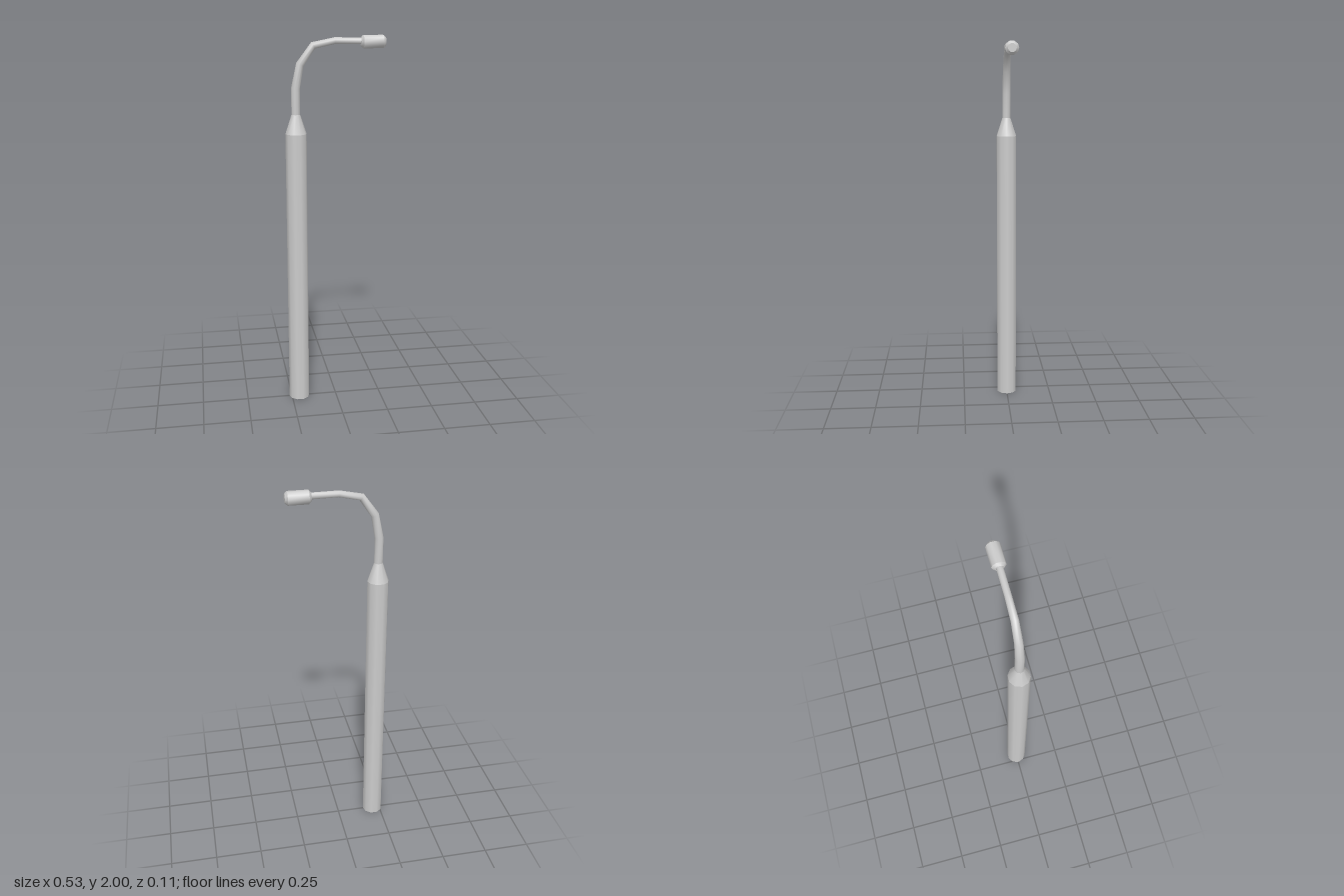
import * as THREE from 'three';
import { toCreasedNormals } from 'three/addons/utils/BufferGeometryUtils.js';

const SIDES = 10;
const POLE_X = -0.208;
const material = new THREE.MeshStandardMaterial({ color: 0xcccccc });

function part(name, geometry) {
  const mesh = new THREE.Mesh(geometry, material);
  mesh.name = name;
  return mesh;
}

// Tapering tube along a bent path in the xy plane; points are [x, y, radius]
function bentTube(points) {
  const positions = [], index = [];
  const centres = points.map(([x, y]) => new THREE.Vector2(x, y));
  const last = points.length - 1;
  const direction = (i) => centres[i + 1].clone().sub(centres[i]).normalize();
  centres.forEach((c, i) => {
    const before = direction(Math.max(i - 1, 0));
    const after = direction(Math.min(i, last - 1));
    const tangent = before.add(after).normalize();
    const r = points[i][2];
    for (let j = 0; j < SIDES; j++) {
      const a = (j / SIDES) * Math.PI * 2;
      const across = r * Math.cos(a);
      positions.push(c.x + tangent.y * across, c.y - tangent.x * across, r * Math.sin(a));
      if (i === last) continue;
      const p = i * SIDES + j, q = i * SIDES + (j + 1) % SIDES;
      index.push(p, p + SIDES, q, q, p + SIDES, q + SIDES);
    }
  });
  const geometry = new THREE.BufferGeometry();
  geometry.setAttribute('position', new THREE.Float32BufferAttribute(positions, 3));
  geometry.setIndex(index);
  geometry.computeVertexNormals();
  return geometry;
}

export function createModel() {
  const model = new THREE.Group();
  model.name = 'streetLamp';

  // Upright pole, with one corner of its outline facing -x
  const pole = part('pole', new THREE.CylinderGeometry(0.056, 0.056, 1.5, SIDES));
  pole.position.set(POLE_X, 0.75, 0);
  pole.rotation.y = Math.PI / 2;

  // Neck narrowing from the pole to the arm
  const neck = part('neck', new THREE.CylinderGeometry(0.023, 0.056, 0.1, SIDES, 1, true));
  neck.position.set(POLE_X, 1.55, 0);
  neck.rotation.y = Math.PI / 2;

  // Curved arm
  const arm = part('arm', bentTube([
    [POLE_X, 1.6, 0.023],
    [POLE_X, 1.735, 0.023],
    [-0.184, 1.855, 0.021],
    [-0.115, 1.95, 0.019],
    [-0.003, 1.973, 0.017],
    [0.14, 1.971, 0.017],
  ]));

  // Lamp head: a short capsule with chamfered ends, lying along x
  const profile = [[0, 0], [0.022, 0], [0.035, 0.012], [0.035, 0.117], [0.022, 0.13], [0, 0.13]]
    .map(([r, y]) => new THREE.Vector2(r, y));
  const head = part('lampHead', toCreasedNormals(new THREE.LatheGeometry(profile, SIDES), 0.7));
  head.position.set(0.133, 1.967, 0);
  head.rotation.z = -Math.PI / 2;

  model.add(pole, neck, arm, head);
  return model;
}
